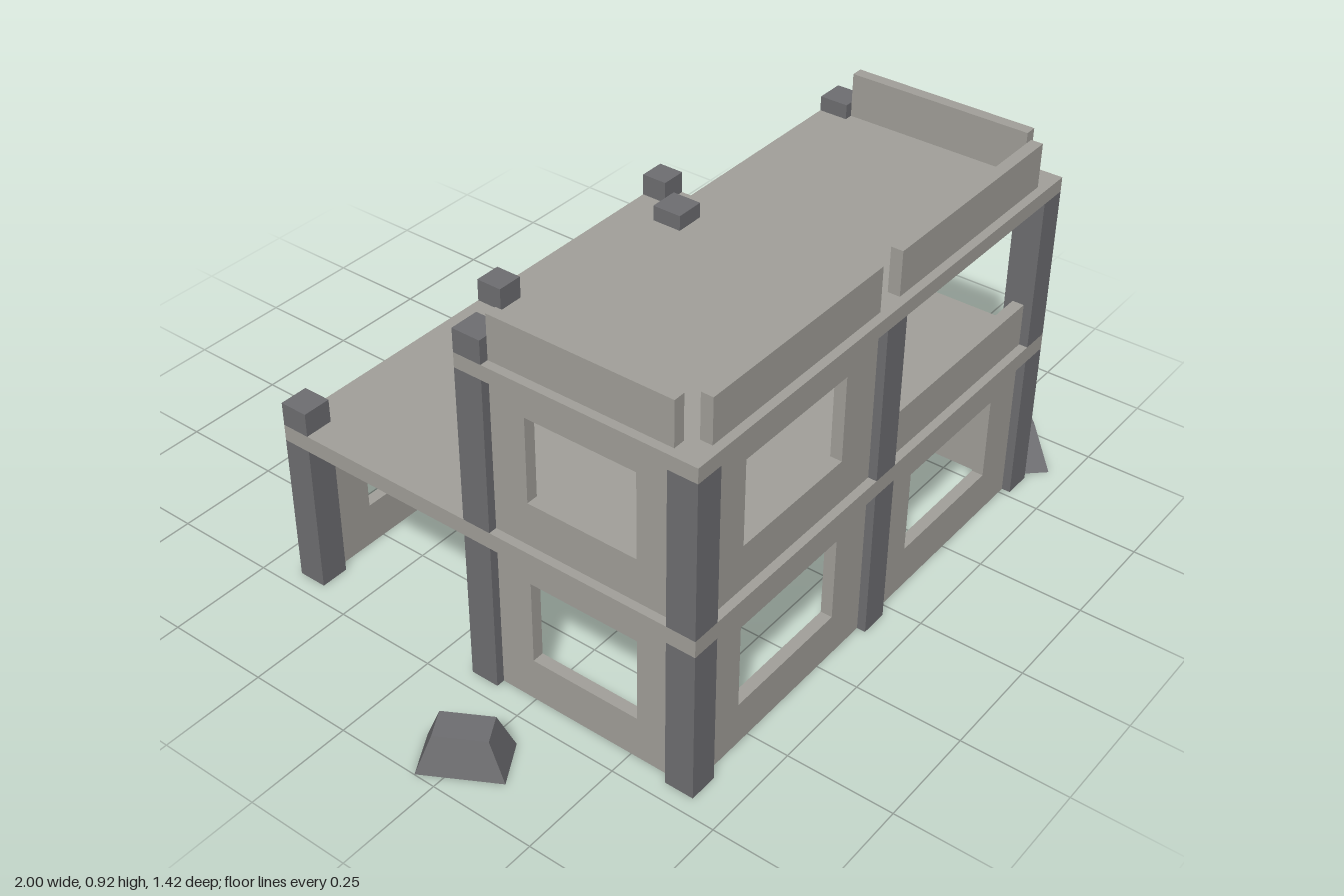
import * as THREE from 'three';

export function createModel() {
  const model = new THREE.Group();
  model.name = 'ruinedBuilding';

  const concrete = new THREE.MeshStandardMaterial({ color: 0xa3a19b });
  concrete.name = 'light concrete';
  const stone = new THREE.MeshStandardMaterial({ color: 0x6f6f72 });
  stone.name = 'dark stone';

  const add = (name, geometry, material, x = 0, y = 0, z = 0, turn = 0) => {
    const mesh = new THREE.Mesh(geometry, material);
    mesh.name = name;
    mesh.position.set(x, y, z);
    mesh.rotation.y = turn;
    model.add(mesh);
    return mesh;
  };
  const box = (name, material, x0, x1, y0, y1, z0, z1) =>
    add(name, new THREE.BoxGeometry(x1 - x0, y1 - y0, z1 - z0), material,
      (x0 + x1) / 2, (y0 + y1) / 2, (z0 + z1) / 2);

  // Layout: column grid and storey heights
  const colX = [-0.675, -0.063, 0.55];
  const colZ = [-0.385, 0.126, 0.636];
  const C = 0.0345; // half column width
  const T = 0.028; // wall thickness
  const F1 = 0.37, F1Top = 0.41, F2 = 0.78, F2Top = 0.815;
  const minX = colX[0] - C, maxX = colX[2] + C;
  const minZ = colZ[0] - C, maxZ = colZ[2] + C;

  // Floor slabs
  box('firstFloorSlab', concrete, minX, maxX, F1, F1Top, minZ, maxZ);
  box('roofSlab', concrete, minX, maxX, F2, F2Top, colZ[1] - C, maxZ);

  // Columns, split where the slabs pass through them
  const column = (x, z, y0, y1) => box('column', stone, x - C, x + C, y0, y1, z - C, z + C);
  colX.forEach((x, i) => {
    colZ.forEach((z, j) => {
      column(x, z, 0, F1);
      if (j === 0) column(x, z, F1Top, 0.467);
      else column(x, z, F1Top, F2);
    });
    column(x, colZ[1], F2Top, i === 0 ? 0.87 : 0.85);
  });

  // Wall panel with a window, centred in its bay
  const windowWall = (name, width, y0, x, z, turn) => {
    const w = width / 2, v = w * 0.61, h = F1;
    const shape = new THREE.Shape([[-w, 0], [w, 0], [w, h], [-w, h]]
      .map(([a, b]) => new THREE.Vector2(a, b)));
    shape.holes.push(new THREE.Path([[-v, 0.105], [-v, 0.31], [v, 0.31], [v, 0.105]]
      .map(([a, b]) => new THREE.Vector2(a, b))));
    const geometry = new THREE.ExtrudeGeometry(shape, { depth: T, bevelEnabled: false });
    geometry.translate(0, 0, -T / 2);
    add(name, geometry, concrete, x, y0, z, turn);
  };
  const bayW = colX[1] - colX[0] - 2 * C;
  const bayD = colZ[2] - colZ[1] - 2 * C;
  const bayX = [(colX[0] + colX[1]) / 2, (colX[1] + colX[2]) / 2];
  const bayZ = (colZ[1] + colZ[2]) / 2;
  windowWall('frontWall', bayW, 0, bayX[0], colZ[2], 0);
  windowWall('frontWall', bayW, 0, bayX[1], colZ[2], 0);
  windowWall('upperFrontWall', bayW, F1Top, bayX[0], colZ[2], 0);
  windowWall('backWall', bayW, 0, bayX[0], colZ[0], 0);
  windowWall('sideWall', bayD, 0, colX[0], bayZ, Math.PI / 2);
  windowWall('sideWall', bayD, 0, colX[2], bayZ, Math.PI / 2);
  windowWall('upperSideWall', bayD, F1Top, colX[0], bayZ, Math.PI / 2);

  // Broken half-height wall and roof parapets
  const lowWall = (name, x, y0, y1) => box(name, concrete,
    x - bayW / 2, x + bayW / 2, y0, y1, colZ[2] - T / 2, colZ[2] + T / 2);
  lowWall('brokenWall', bayX[1], F1Top, 0.515);
  bayX.forEach((x) => lowWall('frontParapet', x, F2Top, 0.92));
  [colX[0], colX[2]].forEach((x) => box('sideParapet', concrete,
    x - T / 2, x + T / 2, F2Top, 0.92, bayZ - bayD / 2, bayZ + bayD / 2));

  // Rubble: blocks tapered towards the top
  const rubble = (x, z, w, d, h, turn) => {
    const geometry = new THREE.BoxGeometry(w, h, d);
    const p = geometry.attributes.position;
    for (let i = 0; i < p.count; i++) {
      if (p.getY(i) > 0) p.setXYZ(i, p.getX(i) * 0.63, p.getY(i), p.getZ(i) * 0.63);
    }
    const flat = geometry.toNonIndexed();
    flat.computeVertexNormals();
    add('rubble', flat, stone, x, h / 2, z, turn);
  };
  rubble(-0.115, -0.508, 0.3, 0.275, 0.125, -0.915);
  rubble(-0.905, 0.25, 0.184, 0.112, 0.09, -1.053);
  rubble(0.733, -0.14, 0.1, 0.06, 0.088, 0.33);
  rubble(0.846, 0.24, 0.276, 0.16, 0.042, -0.28);
  rubble(0.685, 0.543, 0.17, 0.29, 0.105, -0.81);

  return model;
}
